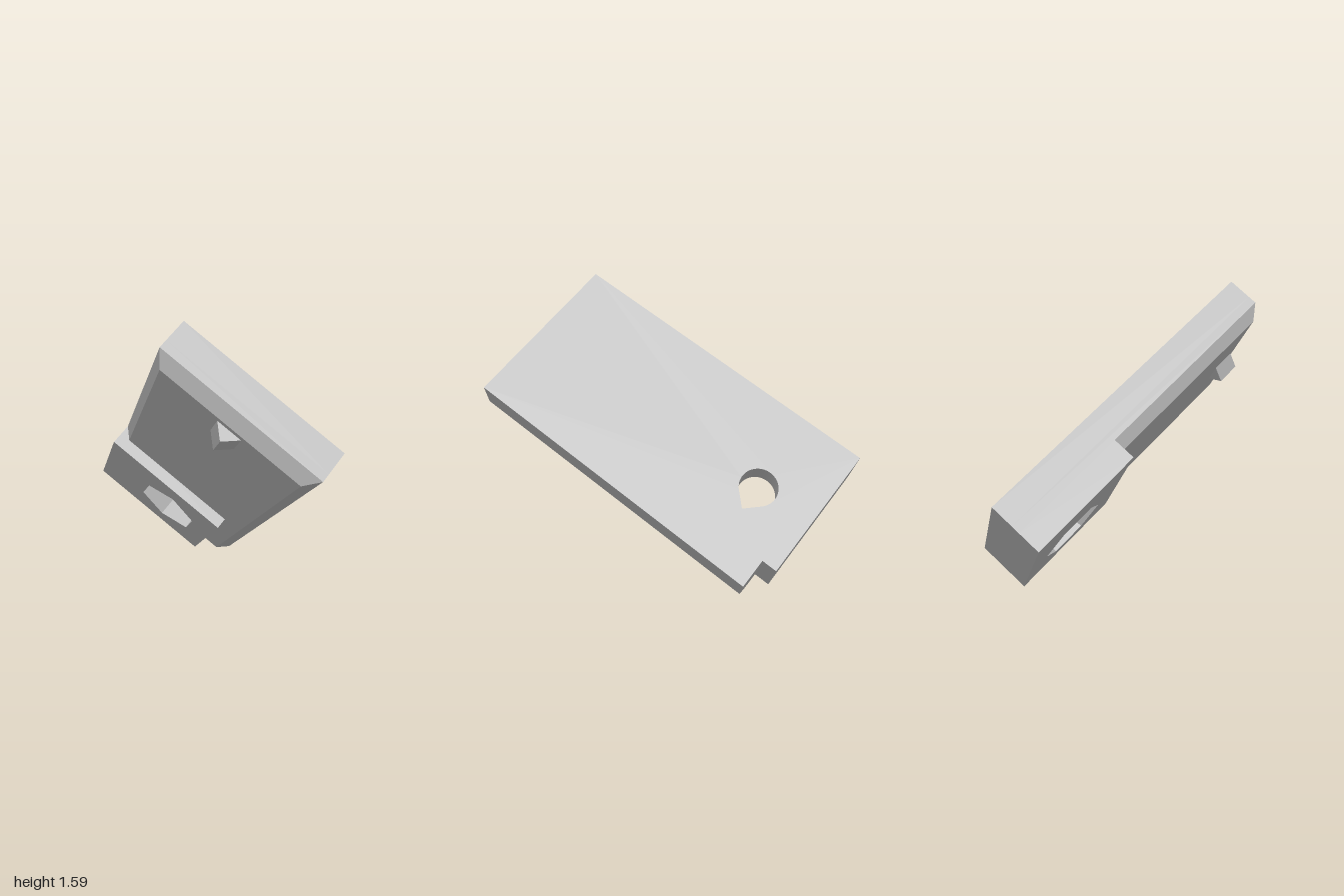
import * as THREE from 'three';
import { ConvexGeometry } from 'three/addons/geometries/ConvexGeometry.js';

// Local frame: X runs along the plate, Y across it, Z down through its thickness.
const LEN = 1.847, WID = 0.947;
const NOTCH_X = 1.762, NOTCH_Y = 0.78;   // corner notch
const FLOOR = 0.13, SIDE = 0.177, BASE = 0.237, LIP = 0.304; // depth levels
const BEVEL = BASE - SIDE;
const LIP_X = 1.178;                      // where the lip starts
const HOLE_X = 1.518, HOLE_Y = 0.474, HOLE_R = 0.105, HEX_R = 0.2;

const v2 = (x, y) => new THREE.Vector2(x, y);

function plateOutline() {
  return new THREE.Shape([
    v2(0, 0), v2(LEN, 0), v2(LEN, NOTCH_Y), v2(NOTCH_X, NOTCH_Y), v2(NOTCH_X, WID), v2(0, WID),
  ]);
}

function lipOutline() {
  return new THREE.Shape([v2(LIP_X, 0), v2(LEN, 0), v2(LEN, NOTCH_Y), v2(LIP_X, NOTCH_Y)]);
}

// round hole with a 45 degree point towards +Y
function teardropHole() {
  const pts = [v2(HOLE_X, HOLE_Y + HOLE_R * Math.SQRT2)];
  for (let i = 0; i <= 48; i++) {
    const a = Math.PI * (0.75 + 1.5 * i / 48);
    pts.push(v2(HOLE_X + HOLE_R * Math.cos(a), HOLE_Y + HOLE_R * Math.sin(a)));
  }
  return new THREE.Path(pts);
}

function hexHole() {
  const pts = [];
  for (let i = 0; i < 6; i++) {
    const a = i * Math.PI / 3;
    pts.push(v2(HOLE_X + HEX_R * Math.cos(a), HOLE_Y + HEX_R * Math.sin(a)));
  }
  return new THREE.Path(pts);
}

function slab(shape, hole, z0, z1) {
  shape.holes.push(hole);
  const geo = new THREE.ExtrudeGeometry(shape, { depth: z1 - z0, bevelEnabled: false });
  return geo.translate(0, 0, z0);
}

// solid between an upper and a lower rectangle, each [x0, x1, y0, y1]
function frustum(upper, lower) {
  const pts = [];
  for (const [[x0, x1, y0, y1], z] of [[upper, SIDE], [lower, BASE]]) {
    for (const x of [x0, x1]) for (const y of [y0, y1]) pts.push(new THREE.Vector3(x, y, z));
  }
  return new ConvexGeometry(pts);
}

// small triangular ridge
function ridge() {
  const pts = [];
  for (const x of [0.09, 0.232]) {
    pts.push(new THREE.Vector3(x, 0.407, BASE), new THREE.Vector3(x, 0.548, BASE),
      new THREE.Vector3(x, 0.4775, BASE + 0.0705));
  }
  return new ConvexGeometry(pts);
}

export function createModel() {
  const grey = new THREE.MeshStandardMaterial({ color: 0xbbbbbb });
  grey.name = 'grey';
  const group = new THREE.Group();
  group.name = 'latchPlate';

  const add = (name, geo) => {
    const mesh = new THREE.Mesh(geo, grey);
    mesh.name = name;
    group.add(mesh);
  };

  add('topPlate', slab(plateOutline(), teardropHole(), 0, FLOOR));
  add('nutPocketPlate', slab(plateOutline(), hexHole(), FLOOR, SIDE));
  add('lip', slab(lipOutline(), hexHole(), SIDE, LIP));
  add('bevelledBase', frustum([0, LIP_X, 0, WID], [BEVEL, LIP_X, BEVEL, WID - BEVEL]));
  add('bevelledStrip', frustum([LIP_X, NOTCH_X, NOTCH_Y, WID], [LIP_X, NOTCH_X, NOTCH_Y, WID - BEVEL]));
  add('catchRidge', ridge());

  // tilt the plate: 30 degrees along its length, 45 degrees about it
  const along = new THREE.Vector3(0, -0.5, -Math.sqrt(3) / 2);
  const across = new THREE.Vector3(Math.SQRT1_2, -Math.sqrt(6) / 4, Math.SQRT2 / 4);
  const down = new THREE.Vector3().crossVectors(along, across);
  const tilt = new THREE.Matrix4().makeBasis(along, across, down);
  group.quaternion.setFromRotationMatrix(tilt);
  group.position.set(-0.228, 1.596, 0.6);

  const model = new THREE.Group();
  model.name = 'model';
  model.add(group);
  return model;
}
